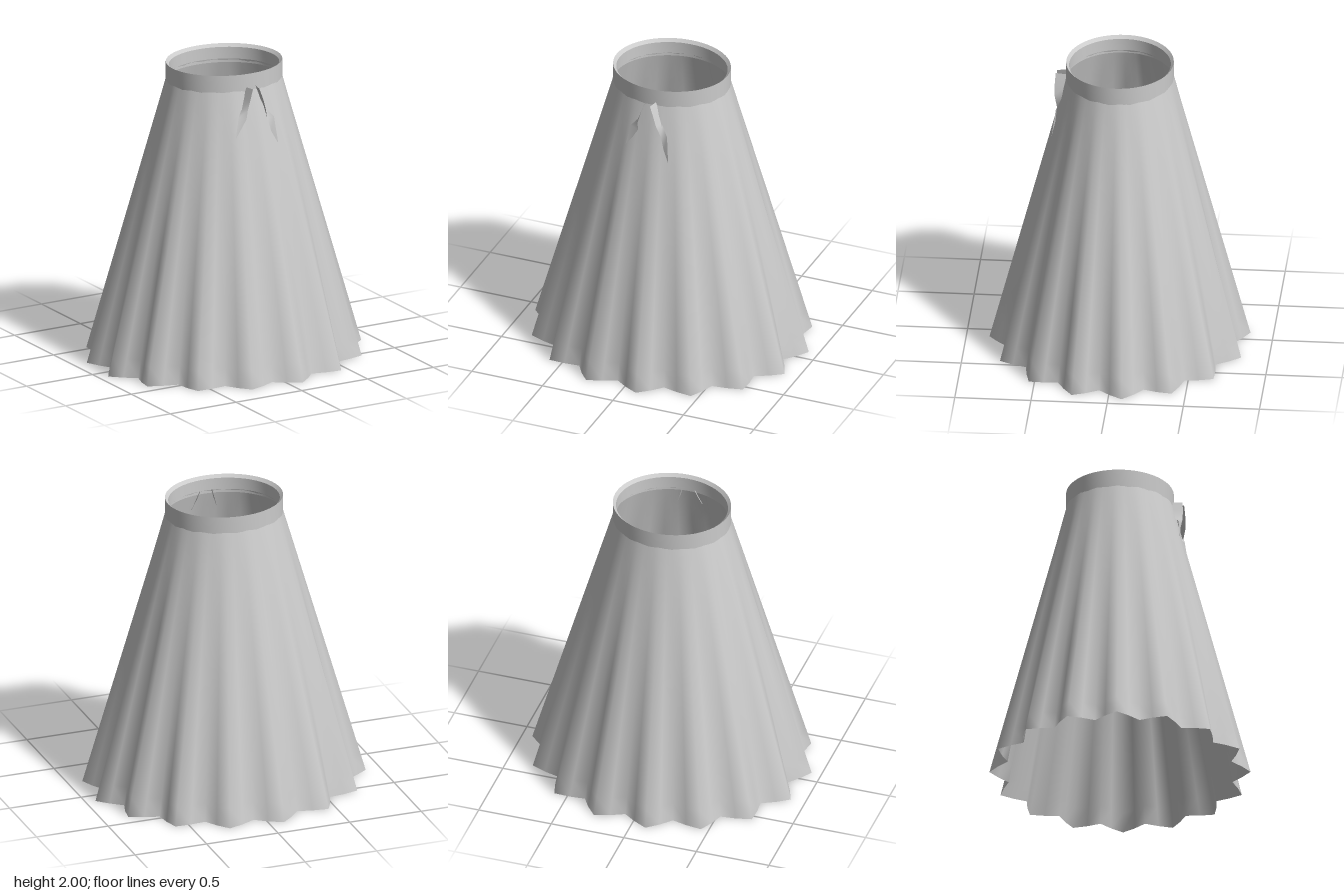
import * as THREE from 'three';
import { toCreasedNormals } from 'three/addons/utils/BufferGeometryUtils.js';

const PLEATS = 16;
const SEGMENTS = PLEATS * 4;
const PHASE = THREE.MathUtils.degToRad(-6); // angle of the first pleat ridge

// Skins a list of equally long point rows; closed rows wrap round smoothly.
function loft(rows, closed) {
  const n = rows[0].length;
  const index = [];
  for (let j = 0; j < rows.length - 1; j++) {
    for (let i = 0; i < (closed ? n : n - 1); i++) {
      const k = (i + 1) % n;
      const a = j * n + i, b = j * n + k, c = a + n, d = b + n;
      index.push(a, b, c, b, d, c);
    }
  }
  const geometry = new THREE.BufferGeometry();
  geometry.setAttribute('position', new THREE.Float32BufferAttribute(rows.flat(2), 3));
  geometry.setIndex(index);
  geometry.computeVertexNormals();
  return geometry;
}

// Elliptical cone whose pleats deepen steadily from the waist to the hem.
function skirtGeometry() {
  const lerp = THREE.MathUtils.lerp;
  const top = 1.95, steps = 16;
  const rows = [];
  for (let j = 0; j <= steps; j++) {
    const f = j / steps;
    const row = [];
    for (let i = 0; i < SEGMENTS; i++) {
      const fold = (1 - Math.cos((i / SEGMENTS) * PLEATS * Math.PI * 2)) / 2; // 0 ridge, 1 valley
      const depth = 1 - 0.127 * f * fold;
      const t = PHASE + (i / SEGMENTS) * Math.PI * 2;
      row.push([
        lerp(0.372, 0.938, f) * depth * Math.cos(t),
        top * (1 - f),
        lerp(0.336, 0.853, f) * depth * Math.sin(t),
      ]);
    }
    rows.push(row);
  }
  return loft(rows, true);
}

// Waistband wall with a rim that slopes inward.
function waistbandGeometry() {
  const profile = [[0.391, 1.87], [0.391, 2], [0.37, 1.98], [0.37, 1.9]]
    .map(([r, y]) => new THREE.Vector2(r, y));
  const geometry = new THREE.LatheGeometry(profile, SEGMENTS);
  geometry.scale(1, 1, 0.9);
  return toCreasedNormals(geometry, 0.6);
}

export function createModel() {
  const group = new THREE.Group();
  const material = new THREE.MeshStandardMaterial({ color: 0xcccccc, side: THREE.DoubleSide });
  const add = (name, geometry) => {
    const mesh = new THREE.Mesh(geometry, material);
    mesh.name = name;
    group.add(mesh);
  };

  add('pleatedSkirt', skirtGeometry());
  add('waistband', waistbandGeometry());

  // Tie ends: each stands out edge-on at the waist, then twists flat onto the skirt.
  add('leftTie', loft([
    [[0.02, 1.91, 0.42], [0.037, 1.91, 0.33]],
    [[0.045, 1.84, 0.425], [0.058, 1.84, 0.345]],
    [[0.065, 1.77, 0.425], [0.082, 1.77, 0.37]],
    [[0.09, 1.69, 0.405], [0.137, 1.7, 0.41]],
    [[0.115, 1.6, 0.415], [0.155, 1.52, 0.435]],
  ], false));
  add('rightTie', loft([
    [[-0.04, 1.91, 0.33], [-0.025, 1.91, 0.415]],
    [[-0.062, 1.84, 0.345], [-0.048, 1.84, 0.42]],
    [[-0.087, 1.77, 0.37], [-0.068, 1.77, 0.42]],
    [[-0.125, 1.73, 0.4], [-0.07, 1.71, 0.408]],
    [[-0.155, 1.59, 0.415], [-0.115, 1.64, 0.405]],
  ], false));

  return group;
}
